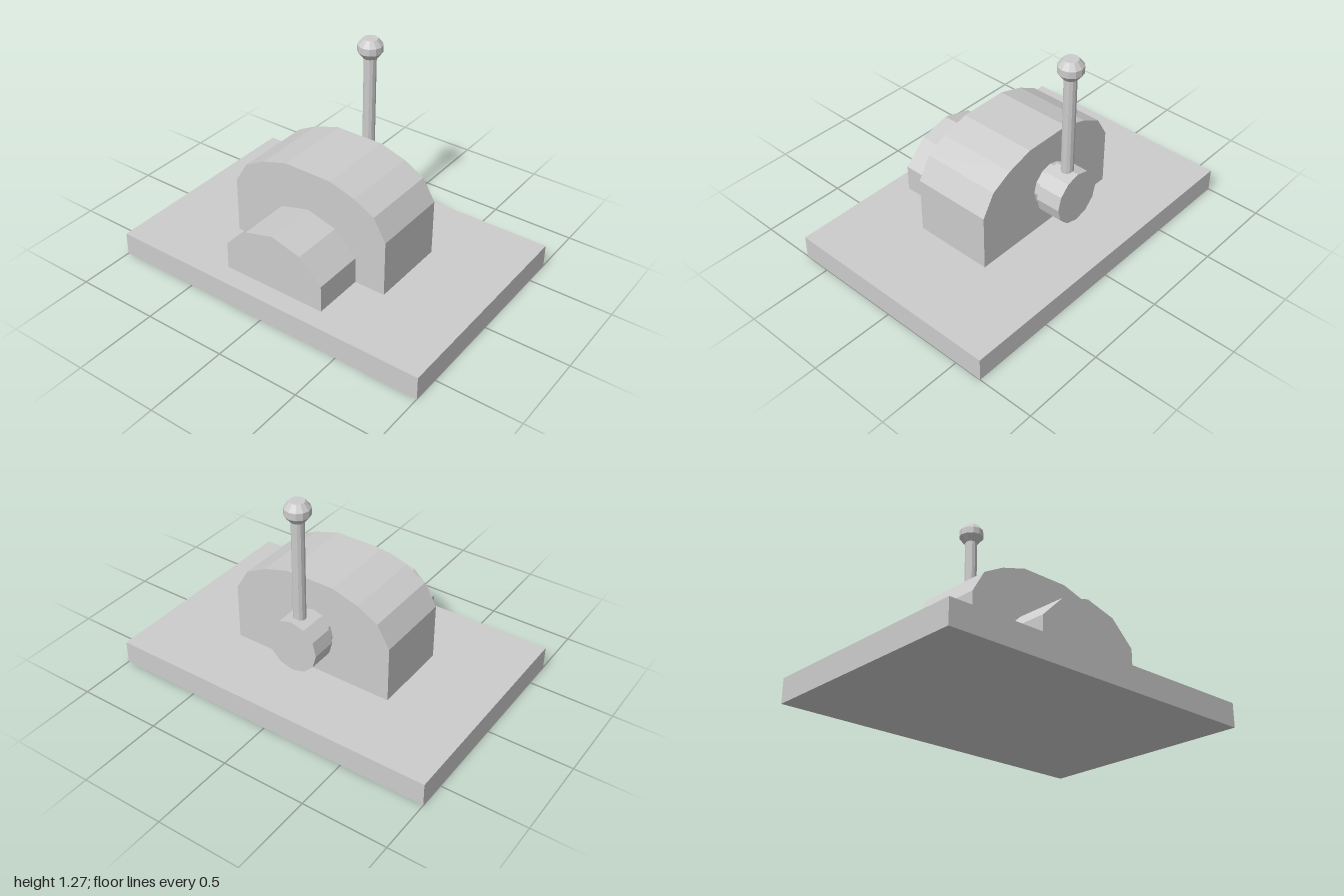
import * as THREE from 'three';

const material = new THREE.MeshStandardMaterial({ color: 0xcccccc, flatShading: true });

export function createModel() {
  const group = new THREE.Group();
  group.name = 'leverSwitch';

  const add = (name, geometry, x, y, z) => {
    const mesh = new THREE.Mesh(geometry, material);
    mesh.name = name;
    mesh.position.set(x, y, z);
    group.add(mesh);
  };

  // Mirrored arch profile (half width, height), extruded along x
  const arch = (half, x0, x1) => {
    const mirrored = half.filter(([w]) => w > 0).reverse().map(([w, h]) => [-w, h]);
    const shape = new THREE.Shape([...half, ...mirrored].map(([w, h]) => new THREE.Vector2(w, h)));
    const geometry = new THREE.ExtrudeGeometry(shape, { depth: x1 - x0, bevelEnabled: false });
    return geometry.rotateY(Math.PI / 2).translate(x0, 0, 0);
  };

  // Twelve-sided disc along x, with a corner at the top
  const disc = (radius, length) =>
    new THREE.CylinderGeometry(radius, radius, length, 12).rotateZ(Math.PI / 2);

  // Base plate
  add('base', new THREE.BoxGeometry(1.334, 0.14, 2), 0, 0.07, 0);

  // Main housing and smaller side housing
  add('housing', arch([[0.507, 0.14], [0.507, 0.48], [0.43, 0.61], [0.305, 0.677], [0.147, 0.725]],
    -0.24, 0.235), 0, 0, 0);
  add('sideHousing', arch([[0.32, 0.14], [0.32, 0.302], [0.182, 0.435], [0, 0.485]],
    -0.55, -0.24), 0, 0, 0);

  // Pivot: collar against the housing, then the larger hub
  const y = 0.412, z = -0.02;
  add('pivotCollar', disc(0.128, 0.06), 0.255, y, z);
  add('pivotHub', disc(0.157, 0.15), 0.355, y, z);

  // Lever and its faceted knob
  add('leverRod', new THREE.CylinderGeometry(0.036, 0.036, 0.68, 12), 0.356, 0.83, z);
  const knob = [[0, 1.158], [0.042, 1.158], [0.072, 1.195], [0.072, 1.235], [0.042, 1.271], [0, 1.271]];
  add('leverKnob', new THREE.LatheGeometry(knob.map(([r, h]) => new THREE.Vector2(r, h)), 12), 0.356, 0, z);

  return group;
}
